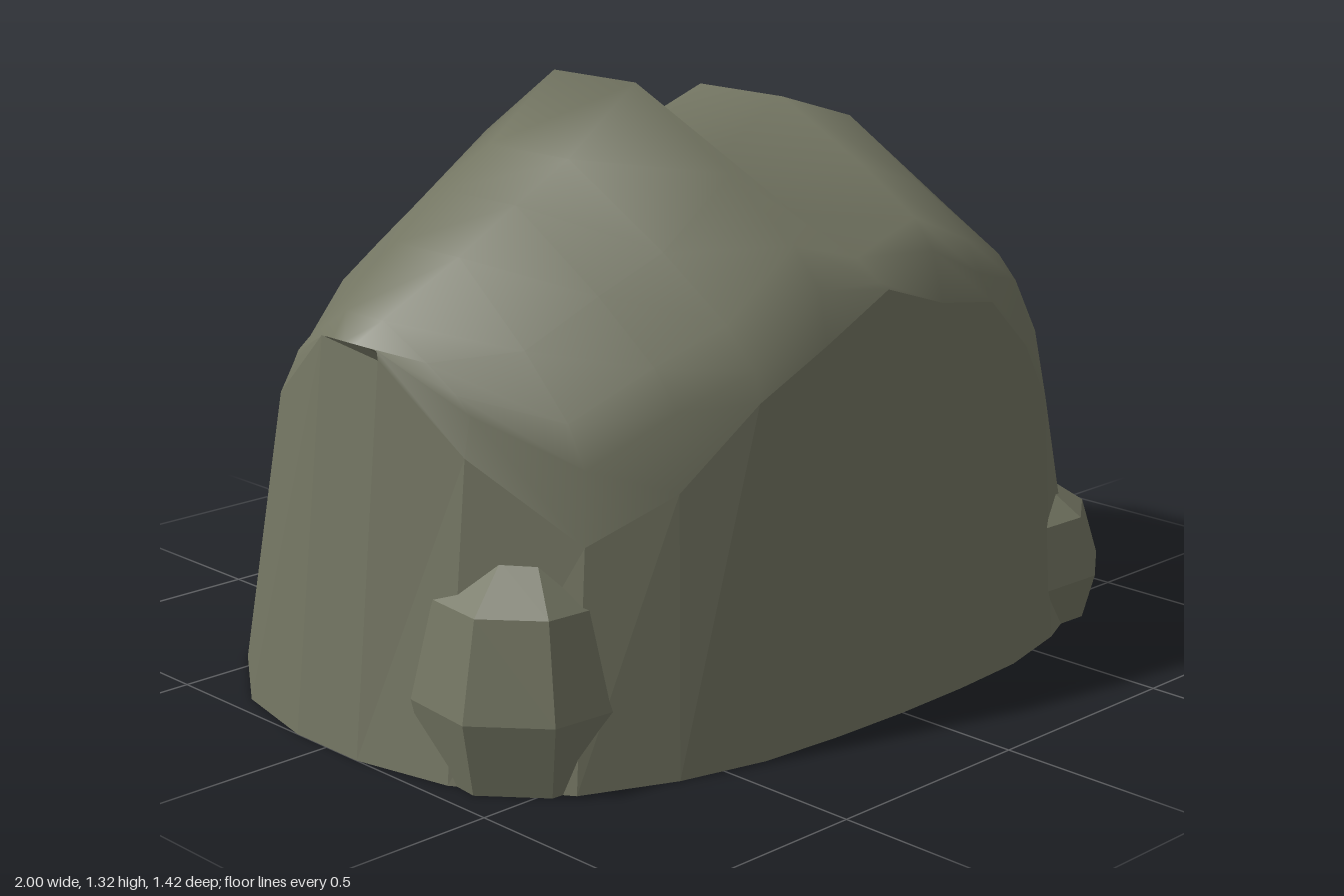
import * as THREE from 'three';

// Outline columns: x positions and half depth of the footprint at each one
const COL_X = [-1, -0.95, -0.8, -0.6, -0.4, -0.2, 0, 0.2, 0.4, 0.6, 0.8, 0.95, 1];
const COL_Z = [0.1, 0.33, 0.55, 0.64, 0.69, 0.705, 0.71, 0.705, 0.69, 0.64, 0.55, 0.33, 0.1];
const INSET = 0.91;
// Heights of the jagged wall rim, from -x to +x
const WALL_FRONT = [0.83, 0.66, 0.49, 0.58, 0.74, 0.83, 0.92, 0.86, 0.83, 0.69, 0.52, 0.7, 0.82];
const WALL_BACK = [0.85, 0.68, 0.5, 0.64, 0.77, 0.88, 0.75, 0.8, 0.71, 0.57, 0.49, 0.665, 0.7];
// Heights of the dome's lower edge
const RIM_FRONT = [0.85, 0.74, 0.64, 0.74, 0.8, 0.94, 0.93, 0.97, 0.89, 0.84, 0.68, 0.75, 0.82];
const RIM_BACK = [0.85, 0.74, 0.64, 0.76, 0.84, 0.93, 0.82, 0.89, 0.82, 0.75, 0.63, 0.74, 0.81];
// Ridge line of the dome
const RIDGE_X = [-0.91, -0.87, -0.7, -0.56, -0.42, -0.23, 0, 0.22, 0.45, 0.57, 0.68, 0.86, 0.91];
const RIDGE_Y = [0.85, 0.9, 1.01, 1.1, 1.18, 1.32, 1.12, 1.24, 1.17, 1.06, 0.95, 0.85, 0.82];
// Positions across each dome section, and how far each rises from edge to ridge
const ACROSS = [-0.96, -0.86, -0.6, -0.2, 0.2, 0.6, 0.86, 0.96];
const RISE = [0, 0.23, 0.57, 1, 1, 0.57, 0.23, 0];

const { lerp } = THREE.MathUtils;

function makeGeometry(points, index, flat) {
  let g = new THREE.BufferGeometry();
  g.setAttribute('position', new THREE.Float32BufferAttribute(points.flat(), 3));
  g.setIndex(index);
  if (flat) g = g.toNonIndexed();
  g.computeVertexNormals();
  return g;
}

function quad(index, a, b, c, d) {
  index.push(a, b, c, a, c, d);
}

// Leaning outer wall: base loop joined to a smaller loop of varying height
function wallGeometry() {
  const n = COL_X.length, m = 2 * n;
  const base = [], top = [], index = [];
  for (let k = 0; k < m; k++) {
    const front = k < n;
    const i = front ? k : m - 1 - k;
    const z = front ? COL_Z[i] : -COL_Z[i];
    base.push([COL_X[i], 0, z]);
    top.push([COL_X[i] * INSET, (front ? WALL_FRONT : WALL_BACK)[i], z * INSET]);
    const next = (k + 1) % m;
    quad(index, k, next, m + next, m + k);
  }
  return makeGeometry([...base, ...top], index, true);
}

// Ridged dome: cross-sections along x, each running from wall rim to wall rim
function domeGeometry() {
  const L = ACROSS.length + 2, last = COL_X.length - 1;
  const points = [], index = [];
  COL_X.forEach((x, i) => {
    const wallX = x * INSET, wallZ = COL_Z[i] * INSET;
    const edgeX = i === 0 || i === last ? wallX : wallX * 0.97;
    points.push([wallX, WALL_BACK[i], -wallZ]);
    ACROSS.forEach((u, k) => points.push([
      lerp(edgeX, RIDGE_X[i], RISE[k]),
      lerp((u < 0 ? RIM_BACK : RIM_FRONT)[i], RIDGE_Y[i], RISE[k]),
      wallZ * u,
    ]));
    points.push([wallX, WALL_FRONT[i], wallZ]);
  });
  for (let i = 0; i < last; i++) {
    for (let j = 0; j < L - 1; j++) {
      const a = i * L + j, b = a + L;
      quad(index, a, a + 1, b + 1, b);
    }
  }
  return makeGeometry(points, index, false);
}

// Faceted hollow boulder, open at the foot, one unit in radius and height
function boulderGeometry() {
  const profile = [[0.86, 0], [1, 0.34], [0.8, 0.78], [0.4, 0.97], [0, 1]]
    .map(([r, y]) => new THREE.Vector2(r, y));
  const g = new THREE.LatheGeometry(profile, 8).toNonIndexed();
  g.computeVertexNormals();
  return g;
}

export function createModel() {
  const stone = new THREE.MeshStandardMaterial({ color: 0x737562, side: THREE.DoubleSide });
  stone.name = 'mossy stone';
  const model = new THREE.Group();
  model.name = 'rockMound';

  const add = (name, geometry) => {
    const mesh = new THREE.Mesh(geometry, stone);
    mesh.name = name;
    model.add(mesh);
    return mesh;
  };

  add('outerWall', wallGeometry());
  add('dome', domeGeometry());

  // Boulders set into the foot of the wall: position, half width, half depth, height, turn
  const boulder = boulderGeometry();
  [
    ['frontLeftBoulder', 0.71, 0.44, 0.24, 0.2, 0.31, 0.3],
    ['frontRightBoulder', -0.74, 0.34, 0.25, 0.24, 0.47, 0.3],
    ['backLeftBoulder', 0.76, -0.385, 0.24, 0.22, 0.46, 0.2],
  ].forEach(([name, x, z, w, d, h, turn]) => {
    const rock = add(name, boulder);
    rock.position.set(x, 0, z);
    rock.scale.set(w, h, d);
    rock.rotation.y = turn;
  });

  return model;
}
